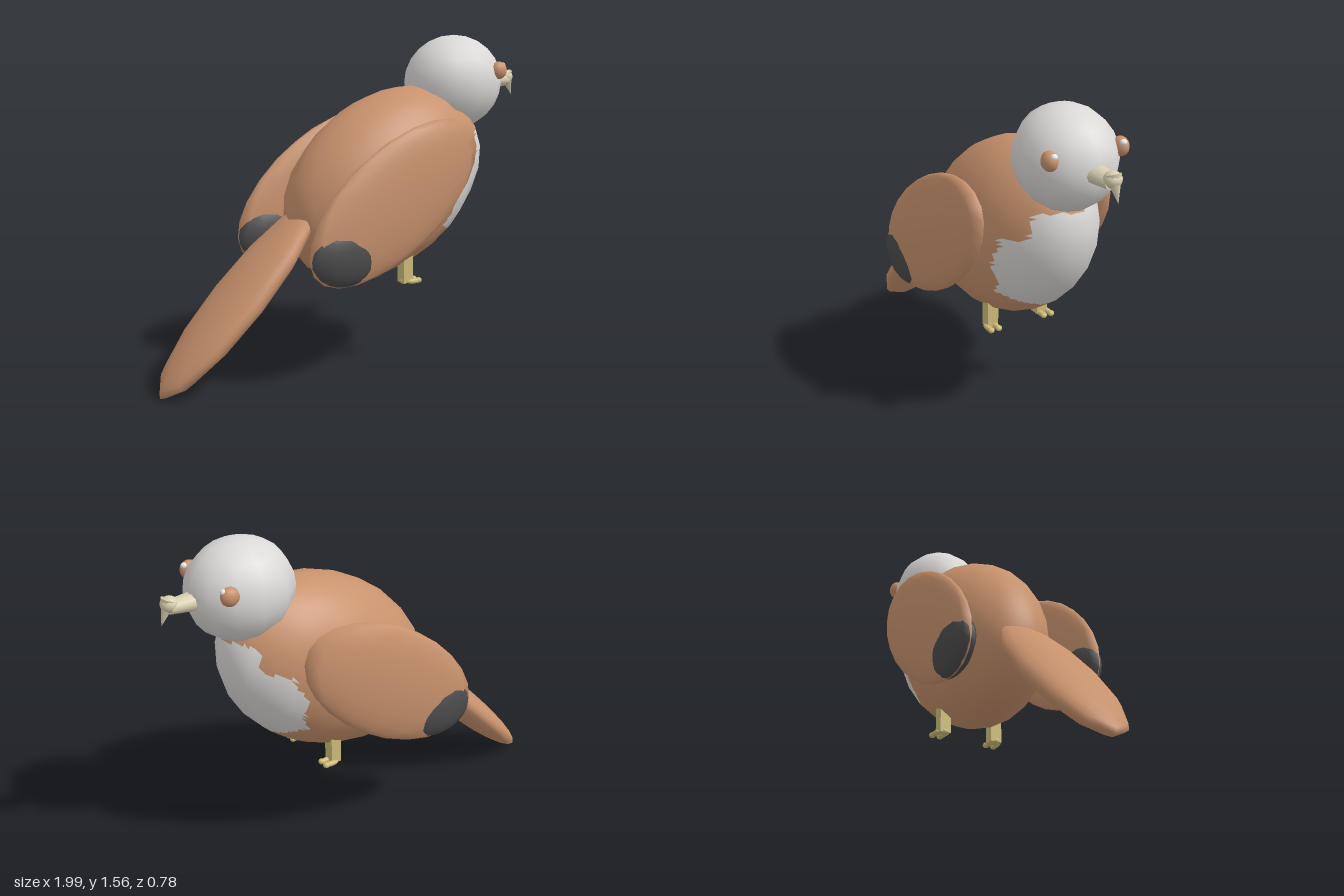
import * as THREE from 'three';

const mat = (name, color) => Object.assign(new THREE.MeshStandardMaterial({ color }), { name });

// Low-poly ellipsoid, tilted about z
function ellipsoid(center, radii, tilt = 0) {
  const g = new THREE.SphereGeometry(1, 12, 12);
  g.scale(...radii);
  g.rotateZ(tilt);
  g.translate(...center);
  return g;
}

// Splits each flat facet into n*n small ones and assigns each to group 0 or 1
function splitByRule(source, n, rule) {
  const g = source.toNonIndexed(), P = g.attributes.position, N = g.attributes.normal;
  const sides = [{ p: [], n: [] }, { p: [], n: [] }];
  const at = (attr, f, i, j) => {
    const v = new THREE.Vector3(), w = [1 - (i + j) / n, i / n, j / n];
    for (let k = 0; k < 3; k++) v.addScaledVector(new THREE.Vector3().fromBufferAttribute(attr, f + k), w[k]);
    return v;
  };
  for (let f = 0; f < P.count; f += 3) {
    for (let i = 0; i < n; i++) for (let j = 0; j < n - i; j++) {
      const tris = [[[i, j], [i + 1, j], [i, j + 1]]];
      if (i + j < n - 1) tris.push([[i + 1, j], [i + 1, j + 1], [i, j + 1]]);
      for (const tri of tris) {
        const pts = tri.map(([a, b]) => at(P, f, a, b));
        const mid = pts[0].clone().add(pts[1]).add(pts[2]).divideScalar(3);
        const s = sides[rule(mid) ? 1 : 0];
        pts.forEach(v => s.p.push(v.x, v.y, v.z));
        tri.forEach(([a, b]) => s.n.push(...at(N, f, a, b).normalize().toArray()));
      }
    }
  }
  const out = new THREE.BufferGeometry();
  out.setAttribute('position', new THREE.Float32BufferAttribute(sides[0].p.concat(sides[1].p), 3));
  out.setAttribute('normal', new THREE.Float32BufferAttribute(sides[0].n.concat(sides[1].n), 3));
  const c0 = sides[0].p.length / 3;
  out.addGroup(0, c0, 0);
  out.addGroup(c0, sides[1].p.length / 3, 1);
  return out;
}

// Half-width of the pale breast patch at each height
const patch = [[0.6, 0], [0.63, 0.11], [0.67, 0.21], [0.73, 0.22], [0.8, 0.25], [0.89, 0.26],
  [0.97, 0.25], [1.0, 0.18], [1.12, 0.16]];
function onBreast(p) {
  if (p.x < 0.3) return false;
  for (let i = 1; i < patch.length; i++) {
    const [y0, w0] = patch[i - 1], [y1, w1] = patch[i];
    if (p.y >= y0 && p.y < y1) return Math.abs(p.z) < w0 + (w1 - w0) * (p.y - y0) / (y1 - y0);
  }
  return false;
}

export function createModel() {
  const bird = new THREE.Group();
  bird.name = 'bird';
  const brown = mat('brown feathers', 0xc8926d);
  const pale = mat('pale feathers', 0xdbd9d7);
  const dark = mat('dark wing tips', 0x4b4b4b);
  const horn = mat('beak horn', 0xd8cfb0);
  const yellow = mat('leg yellow', 0xccbc78);
  const shine = mat('eye shine', 0xf4f4f4);
  const add = (name, geometry, material, parent = bird) => {
    const m = new THREE.Mesh(geometry, material);
    m.name = name;
    parent.add(m);
    return m;
  };

  // Body, head and tail
  add('body', splitByRule(ellipsoid([0.2, 0.88, 0], [0.58, 0.405, 0.31], 0.53), 6, onBreast), [brown, pale]);
  add('head', ellipsoid([0.615, 1.34, 0], [0.25, 0.23, 0.22]), pale);
  add('tail', ellipsoid([-0.6, 0.41, 0], [0.565, 0.08, 0.195], Math.PI / 4), brown);

  // Beak with a hooked tip
  const beak = new THREE.Group();
  beak.name = 'beak';
  bird.add(beak);
  const base = new THREE.CylinderGeometry(0.036, 0.05, 0.12, 10);
  base.scale(0.85, 1, 1.1);
  base.rotateZ(-Math.PI / 2);
  base.translate(0.895, 1.338, 0);
  add('beakBase', base, horn, beak);
  add('beakBridge', ellipsoid([0.95, 1.352, 0], [0.04, 0.036, 0.04]), horn, beak);
  const hook = new THREE.ConeGeometry(0.036, 0.12, 8);
  hook.rotateZ(Math.PI + 0.36);
  hook.translate(0.972, 1.318, 0);
  add('beakHook', hook, horn, beak);

  // Paired parts
  for (const s of [1, -1]) {
    const side = s > 0 ? 'front' : 'back';

    const wing = new THREE.Group();
    wing.name = side + 'Wing';
    bird.add(wing);
    add('wingFeathers', ellipsoid([0.04, 0.84, s * 0.326], [0.53, 0.258, 0.062], 0.587), brown, wing);
    add('wingTip', ellipsoid([-0.235, 0.618, s * 0.322], [0.185, 0.138, 0.064]), dark, wing);

    add(side + 'Eye', ellipsoid([0.76, 1.4, s * 0.175], [0.043, 0.043, 0.034]), brown);
    add(side + 'EyeShine', ellipsoid([0.785, 1.424, s * 0.17], [0.016, 0.014, 0.016]), shine);

    const leg = new THREE.Group();
    leg.name = side + 'Leg';
    bird.add(leg);
    const shin = new THREE.BoxGeometry(0.052, 0.16, 0.055);
    shin.translate(0.234, 0.485, s * 0.135);
    add('shin', shin, yellow, leg);
    for (const dz of [-0.018, 0.022]) {
      add('toe', ellipsoid([0.265, 0.41, s * (0.142 + dz)], [0.04, 0.013, 0.014]), yellow, leg);
      add('toeEnd', ellipsoid([0.292, 0.411, s * (0.142 + dz)], [0.016, 0.014, 0.016]), yellow, leg);
    }
    add('heel', ellipsoid([0.225, 0.411, s * 0.138], [0.022, 0.016, 0.02]), yellow, leg);
  }
  return bird;
}
